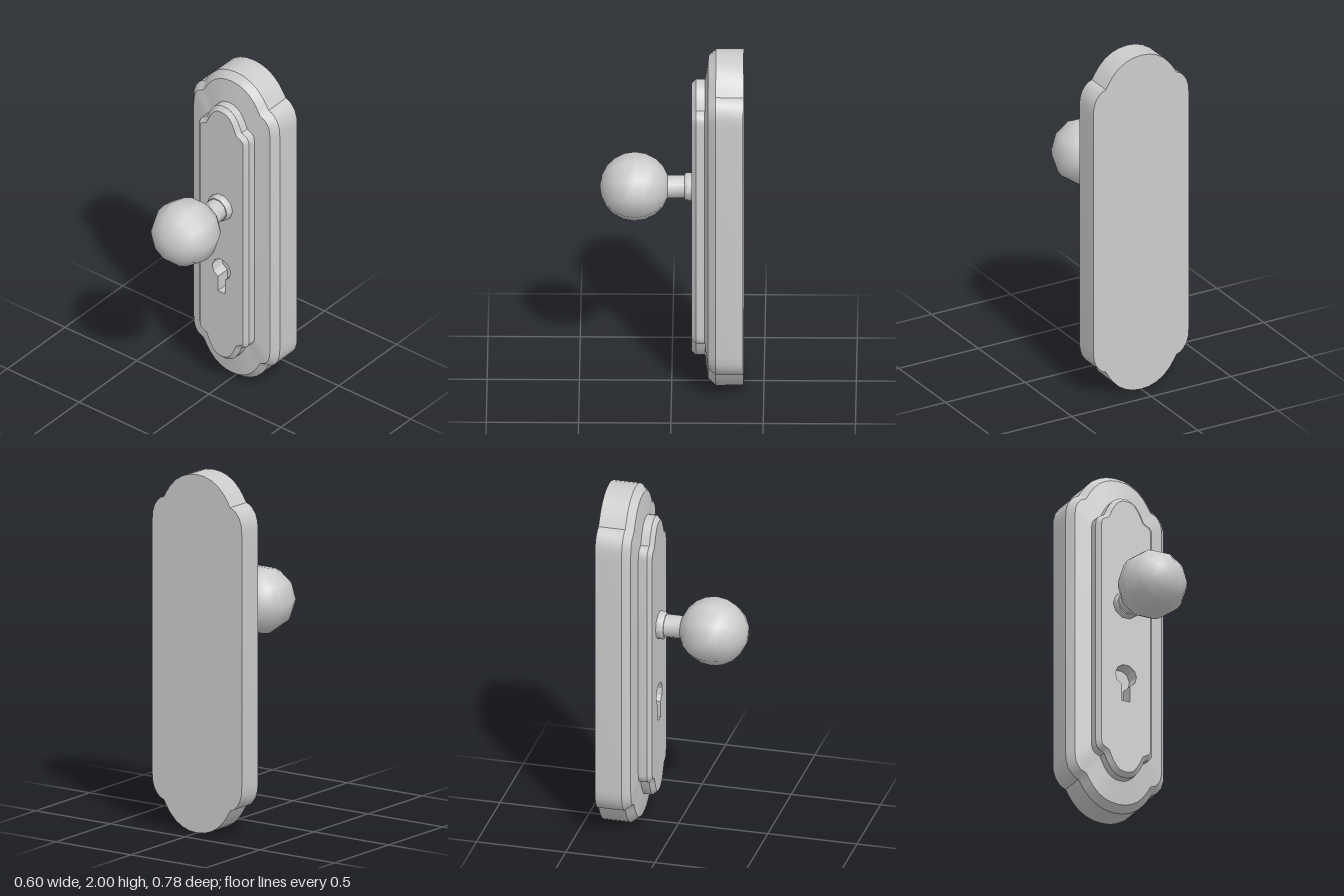
import * as THREE from 'three';
import { mergeGeometries, toCreasedNormals } from 'three/addons/utils/BufferGeometryUtils.js';

const MID_Y = 1;
const KNOB_Y = 1.185;
const material = new THREE.MeshStandardMaterial({ color: 0xcccccc });

// Mirrors a quarter outline (side to top) into a closed counter-clockwise loop.
function fullOutline(quarter) {
  const half = [...quarter, ...quarter.slice(0, -1).reverse().map(([x, y]) => [-x, y])];
  const lower = half.slice().reverse().map(([x, y]) => [x, -y]);
  const bottom = lower.slice(); // left side, down through the bottom, to the right side
  return [...half, ...bottom].map(([x, y]) => new THREE.Vector2(x, y + MID_Y));
}

// Moves every edge of a loop inward by d, mitring the corners.
function inset(loop, d) {
  const n = loop.length;
  const normal = (a, b) => new THREE.Vector2(a.y - b.y, b.x - a.x).normalize();
  return loop.map((p, i) => {
    const n1 = normal(loop[(i + n - 1) % n], p);
    const n2 = normal(p, loop[(i + 1) % n]);
    const m = n1.clone().add(n2);
    return p.clone().addScaledVector(m, d / (1 + n1.dot(n2)));
  });
}

// Walls joining a series of matching loops, each given as [loop, z].
function loft(rings) {
  const pos = [];
  for (let k = 0; k < rings.length - 1; k++) {
    const [lo, z0] = rings[k];
    const [hi, z1] = rings[k + 1];
    for (let i = 0; i < lo.length; i++) {
      const j = (i + 1) % lo.length;
      const a = [lo[i].x, lo[i].y, z0], b = [lo[j].x, lo[j].y, z0];
      const c = [hi[j].x, hi[j].y, z1], d = [hi[i].x, hi[i].y, z1];
      pos.push(...a, ...b, ...c, ...a, ...c, ...d);
    }
  }
  const g = new THREE.BufferGeometry();
  g.setAttribute('position', new THREE.Float32BufferAttribute(pos, 3));
  return toCreasedNormals(g, 0.6);
}

// Flat face filling a loop, optionally pierced or facing backwards.
function cap(loop, z, hole = null, back = false) {
  const shape = new THREE.Shape(loop);
  if (hole) shape.holes.push(new THREE.Path(hole));
  let g = new THREE.ShapeGeometry(shape);
  if (back) {
    const index = g.index.array;
    for (let i = 0; i < index.length; i += 3) {
      [index[i], index[i + 1]] = [index[i + 1], index[i]];
    }
  }
  g.translate(0, 0, z);
  g = g.toNonIndexed();
  g.deleteAttribute('uv');
  g.computeVertexNormals();
  return g;
}

function addMesh(parent, name, geometry) {
  const mesh = new THREE.Mesh(geometry, material);
  mesh.name = name;
  parent.add(mesh);
  return mesh;
}

// Ten-sided turned part along z; profile is [radius, z] from back to front.
function turned(profile) {
  const g = new THREE.LatheGeometry(
    profile.map(([r, z]) => new THREE.Vector2(r, z)), 10, Math.PI / 2);
  g.rotateX(Math.PI / 2);
  g.translate(0, KNOB_Y, 0);
  return toCreasedNormals(g, 0.7);
}

export function createModel() {
  const group = new THREE.Group();
  group.name = 'doorKnobPlate';

  const outer = fullOutline([
    [0.3, 0.7], [0.297, 0.75], [0.285, 0.79], [0.264, 0.82], [0.245, 0.837], [0.222, 0.846],
    [0.205, 0.875], [0.18, 0.912], [0.14, 0.953], [0.095, 0.98], [0.05, 0.995], [0, 1],
  ]);
  const inner = fullOutline([
    [0.173, 0.64], [0.172, 0.66], [0.167, 0.68], [0.155, 0.695], [0.14, 0.703], [0.122, 0.712],
    [0.11, 0.74], [0.095, 0.77], [0.072, 0.803], [0.05, 0.82], [0.025, 0.83], [0, 0.832],
  ]);

  // Back plate: straight sides, bevel, and a gently raised front
  addMesh(group, 'backPlate', mergeGeometries([
    cap(outer, -0.39, null, true),
    loft([[outer, -0.39], [outer, -0.24], [inset(outer, 0.035), -0.198], [inner, -0.18]]),
  ]));

  // Keyhole: round top with a straight slot below, listed clockwise
  const keyhole = [new THREE.Vector2(0.025, 0.615), new THREE.Vector2(-0.025, 0.615)];
  const start = Math.asin(0.025 / 0.064);
  for (let i = 0; i <= 9; i++) {
    const a = start + (i / 9) * (2 * Math.PI - 2 * start);
    keyhole.push(new THREE.Vector2(-0.064 * Math.sin(a), 0.768 - 0.064 * Math.cos(a)));
  }

  // Raised front plate with chamfered rim and keyhole opening
  const face = inset(inner, 0.024);
  addMesh(group, 'frontPlate', mergeGeometries([
    loft([[inner, -0.18], [inner, -0.132], [face, -0.108]]),
    cap(face, -0.108, keyhole),
  ]));
  addMesh(group, 'keyholeRecess', mergeGeometries([
    loft([[keyhole, -0.19], [keyhole, -0.108]]),
    cap(keyhole, -0.19),
  ]));

  // Knob assembly
  addMesh(group, 'knobCollar', turned([[0.078, -0.112], [0.078, -0.08], [0.07, -0.069], [0.05, -0.069]]));
  addMesh(group, 'knobNeck', turned([[0.064, -0.075], [0.064, 0.03]]));
  const ball = new THREE.SphereGeometry(0.19, 10, 10);
  ball.rotateX(Math.PI / 2);
  addMesh(group, 'knob', ball).position.set(0, KNOB_Y, 0.2);

  return group;
}
